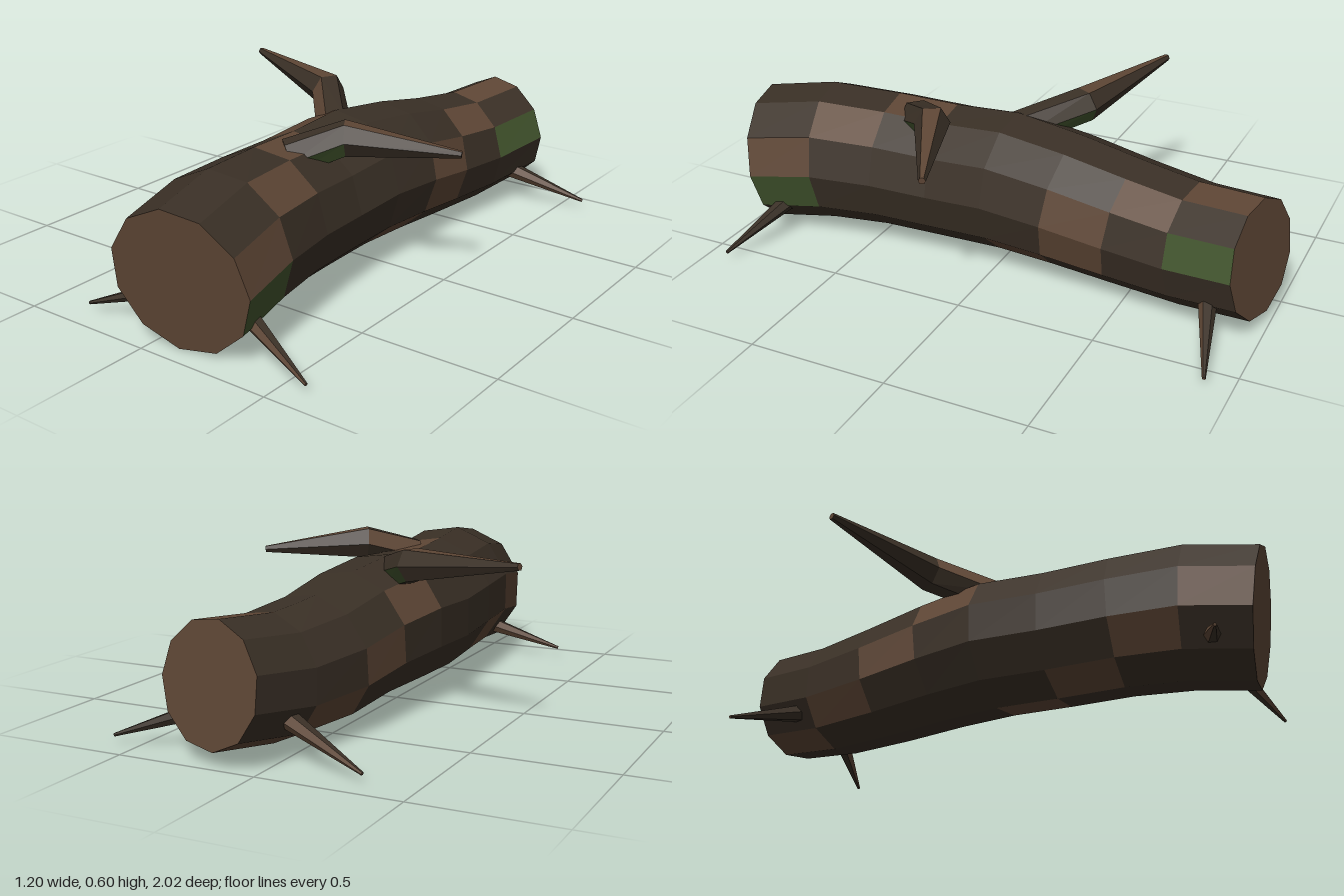
import * as THREE from 'three';

const V = (x, y, z) => new THREE.Vector3(x, y, z);
const UP = V(0, 1, 0);
const BARK = 0, WOOD = 1, MOSS = 2;

function makeMaterial(name, color) {
  const m = new THREE.MeshStandardMaterial({ color, flatShading: true });
  m.name = name;
  return m;
}

// Faceted tube through stations [x, y, z, radius]; colorAt(segment, side) picks the material.
function limb(name, stations, sides, materials, colorAt) {
  const pts = stations.map(([x, y, z]) => V(x, y, z));
  const last = pts.length - 1;
  const rings = stations.map(([, , , r], i) => {
    const dir = pts[Math.min(i + 1, last)].clone().sub(pts[Math.max(i - 1, 0)]).normalize();
    const u = dir.clone().cross(UP).normalize();
    const v = u.clone().cross(dir);
    return Array.from({ length: sides }, (_, j) => {
      const a = (j / sides) * Math.PI * 2;
      return pts[i].clone().addScaledVector(u, Math.cos(a) * r).addScaledVector(v, Math.sin(a) * r);
    });
  });
  const faces = materials.map(() => []);
  for (let j = 0; j < sides; j++) {
    const k = (j + 1) % sides;
    for (let i = 0; i < last; i++) {
      const a = rings[i][j], b = rings[i][k], c = rings[i + 1][k], d = rings[i + 1][j];
      faces[colorAt(i, j)].push(a, d, c, a, c, b);
    }
    // cut ends
    faces[WOOD].push(pts[0], rings[0][j], rings[0][k], pts[last], rings[last][k], rings[last][j]);
  }
  const geo = new THREE.BufferGeometry().setFromPoints(faces.flat());
  let start = 0;
  faces.forEach((f, m) => {
    if (f.length) geo.addGroup(start, f.length, m);
    start += f.length;
  });
  geo.computeVertexNormals();
  const mesh = new THREE.Mesh(geo, materials);
  mesh.name = name;
  return mesh;
}

export function createModel() {
  const group = new THREE.Group();
  group.name = 'fallenLog';
  const materials = [
    makeMaterial('darkBark', 0x3a3026),
    makeMaterial('bareWood', 0x5e4635),
    makeMaterial('moss', 0x42552d),
  ];
  // bare patches spiral round the bark
  const patch = (i, j) => ((i - j) % 5 === 0 ? WOOD : BARK);

  // curved trunk, front to back
  const trunk = [
    [0.14, 0.25, 0.96, 0.255], [0.105, 0.285, 0.715, 0.26], [0.075, 0.283, 0.475, 0.252],
    [0.058, 0.275, 0.24, 0.25], [0.06, 0.285, 0, 0.254], [0.08, 0.27, -0.235, 0.243],
    [0.09, 0.24, -0.47, 0.23], [0.125, 0.23, -0.71, 0.218], [0.18, 0.257, -0.96, 0.21],
  ];
  group.add(limb('trunk', trunk, 11, materials, (i, j) =>
    (i === 0 && j === 10) || (i === 7 && j === 0) ? MOSS : patch(i, j)));

  // bent branch stubs on top
  const branchColor = (i, j) => {
    if (i === 0 && j === 5) return MOSS;
    return (i === 0 && j === 2) || (i === 1 && j === 1) ? WOOD : BARK;
  };
  group.add(limb('rightBranch', [
    [0.02, 0.47, 0.0, 0.065], [-0.15, 0.537, -0.19, 0.064], [-0.597, 0.585, -0.34, 0.013],
  ], 6, materials, branchColor));
  group.add(limb('leftBranch', [
    [0.1, 0.48, 0.37, 0.065], [0.235, 0.537, 0.23, 0.064], [0.595, 0.508, 0.07, 0.013],
  ], 6, materials, branchColor));

  // low twigs near both ends
  for (const end of [1, -1]) {
    for (const side of [1, -1]) {
      group.add(limb(`${end > 0 ? 'front' : 'back'}${side > 0 ? 'Left' : 'Right'}Twig`, [
        [0.133 + side * 0.14, 0.14, end * 0.815, 0.035],
        [0.133 + side * 0.455, 0.03, end * 0.91, 0.006],
      ], 6, materials, patch));
    }
  }
  return group;
}
